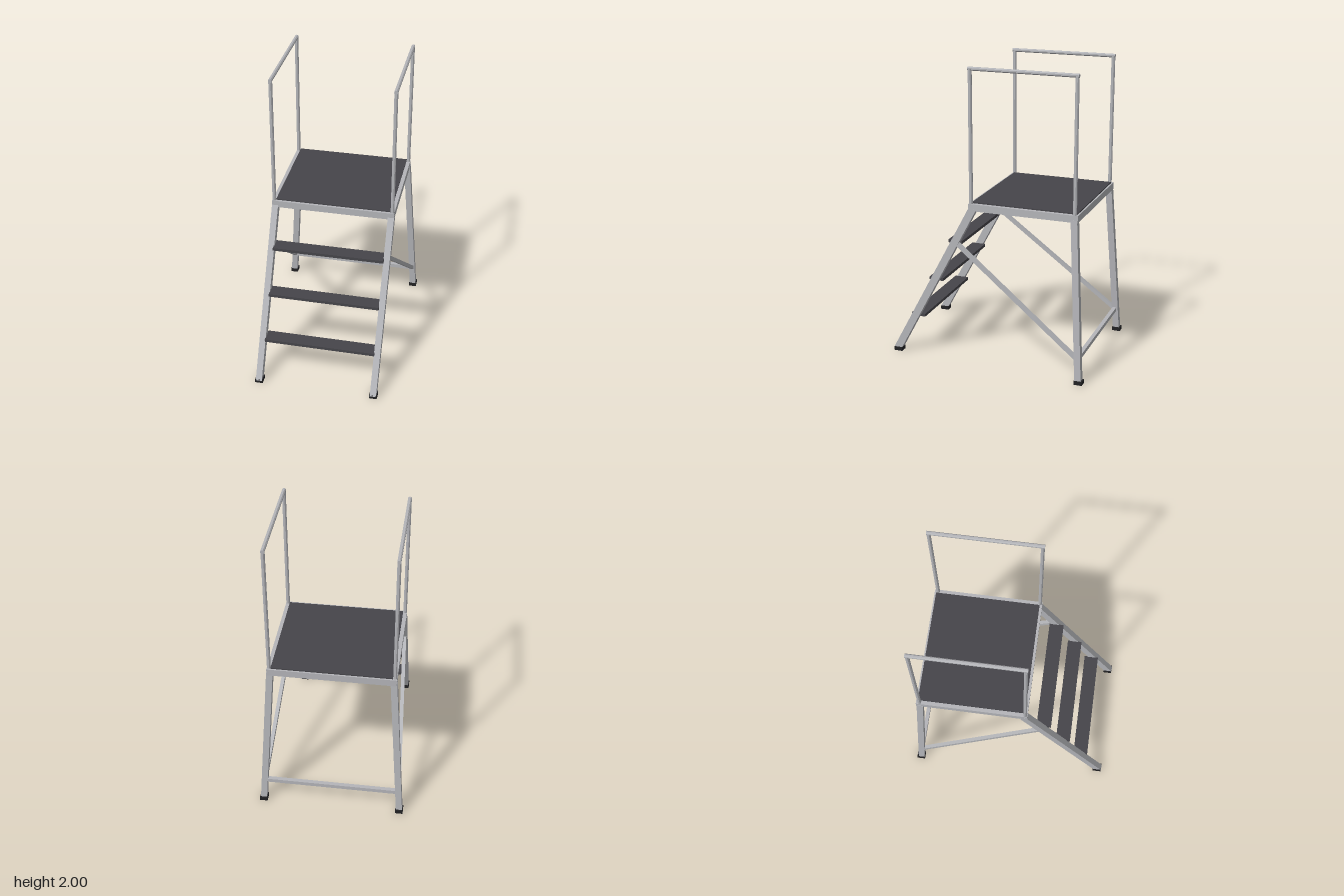
import * as THREE from 'three';

const V = (x, y, z) => new THREE.Vector3(x, y, z);

export function createModel() {
  const model = new THREE.Group();
  model.name = 'platformLadder';

  const aluminium = new THREE.MeshStandardMaterial({ color: 0xb4b5b9 });
  aluminium.name = 'aluminium';
  const tread = new THREE.MeshStandardMaterial({ color: 0x46454a });
  tread.name = 'darkTread';
  const rubber = new THREE.MeshStandardMaterial({ color: 0x222224 });
  rubber.name = 'blackRubber';

  const add = (name, geometry, material) => {
    const mesh = new THREE.Mesh(geometry, material);
    mesh.name = name;
    model.add(mesh);
    return mesh;
  };
  const box = (name, material, w, h, d, x, y, z) =>
    add(name, new THREE.BoxGeometry(w, h, d), material).position.set(x, y, z);

  // Slanted post with level ends: a box sheared from point a (bottom) to b (top)
  const slantedPost = (name, a, b, w, d) => {
    const g = new THREE.BoxGeometry(w, 1, d);
    const p = g.attributes.position;
    for (let i = 0; i < p.count; i++) {
      const c = a.clone().lerp(b, p.getY(i) + 0.5);
      p.setXYZ(i, p.getX(i) + c.x, c.y, p.getZ(i) + c.z);
    }
    g.computeVertexNormals();
    add(name, g, aluminium);
  };

  // Square bar between two points
  const bar = (name, a, b, size) => {
    const m = add(name, new THREE.BoxGeometry(size, size, a.distanceTo(b)), aluminium);
    m.position.copy(a).lerp(b, 0.5);
    m.lookAt(b);
  };

  // Eight-sided tube between two points, a flat side facing out
  const tube = (name, a, b, r) => {
    const g = new THREE.CylinderGeometry(r, r, a.distanceTo(b), 8).toNonIndexed();
    g.rotateY(Math.PI / 8);
    g.computeVertexNormals();
    const m = add(name, g, aluminium);
    m.position.copy(a).lerp(b, 0.5);
    m.quaternion.setFromUnitVectors(V(0, 1, 0), b.clone().sub(a).normalize());
  };

  // Platform
  box('platformFrame', aluminium, 0.826, 0.047, 0.738, 0, 1.0885, -0.246);
  box('platformDeck', tread, 0.774, 0.008, 0.71, 0, 1.116, -0.249);

  // Stair treads
  for (const [y, z] of [[0.272, 0.515], [0.55, 0.376], [0.83, 0.234]]) {
    box('tread', tread, 0.75, 0.02, 0.099, 0, y, z);
  }

  for (const s of [-1, 1]) {
    const side = s > 0 ? 'left' : 'right';

    // Legs
    slantedPost(side + 'Stringer', V(s * 0.393, 0.02, 0.66), V(s * 0.393, 1.08, 0.095), 0.042, 0.057);
    slantedPost(side + 'RearLeg', V(s * 0.465, 0.02, -0.655), V(s * 0.395, 1.08, -0.59), 0.042, 0.043);

    // Feet
    box(side + 'FrontFoot', rubber, 0.052, 0.026, 0.06, s * 0.393, 0.013, 0.656);
    box(side + 'RearFoot', rubber, 0.052, 0.026, 0.056, s * 0.465, 0.013, -0.658);

    // Diagonal brace
    bar(side + 'Brace', V(s * 0.396, 0.83, 0.215), V(s * 0.455, 0.167, -0.637), 0.025);

    // Handrail
    const r = 0.0127, x = s * 0.4, front = 0.108, back = -0.592, top = 2 - r;
    tube(side + 'RailFrontPost', V(x, 1.09, front), V(x, top, front), r);
    tube(side + 'RailBackPost', V(x, 1.09, back), V(x, top, back), r);
    tube(side + 'TopRail', V(x, top, front + r), V(x, top, back - r), r);
  }

  // Rear cross bar
  bar('rearCrossBar', V(-0.455, 0.168, -0.643), V(0.455, 0.168, -0.643), 0.027);

  return model;
}
